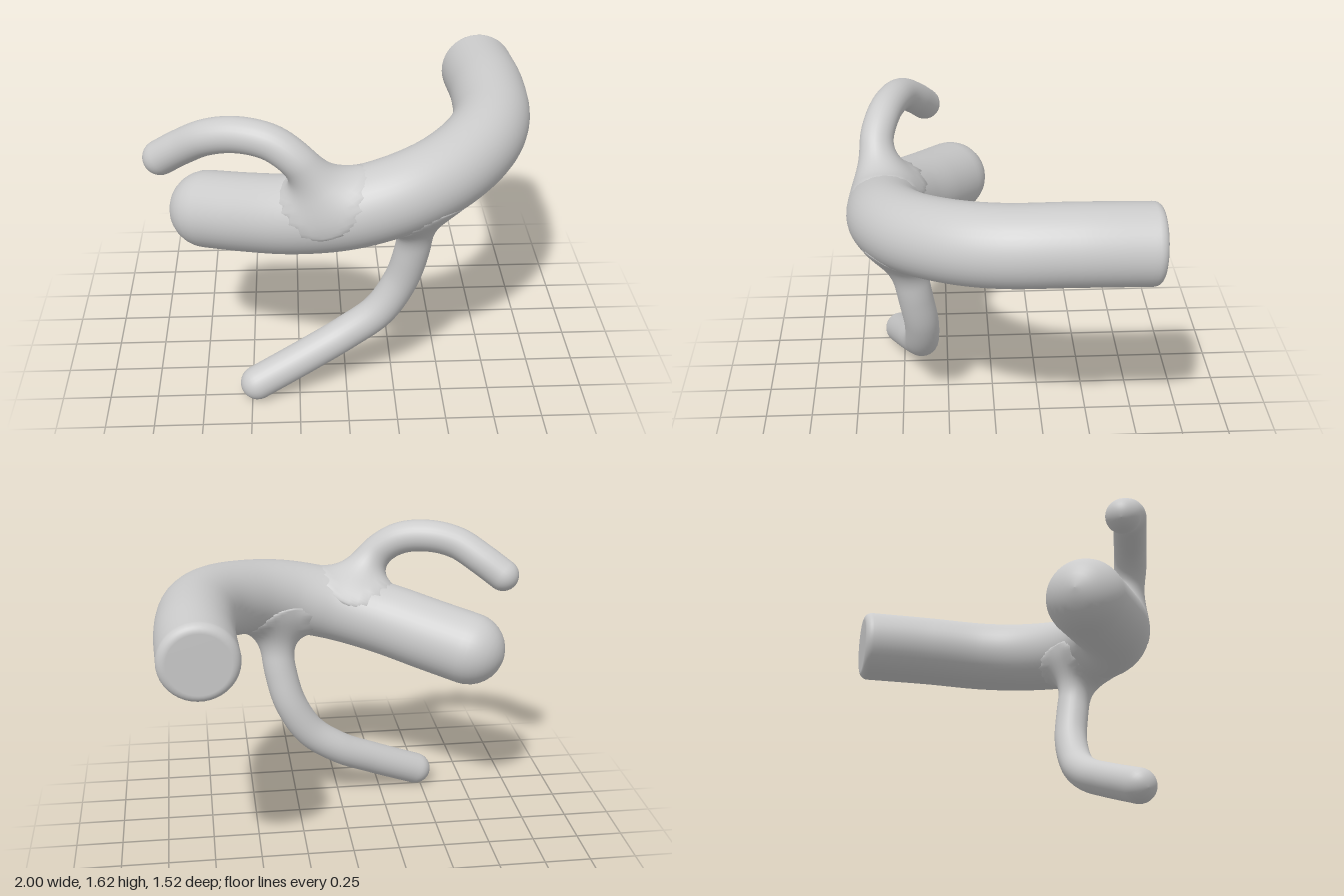
import * as THREE from 'three';

const V = (p) => new THREE.Vector3(...p);
const TRUNK_R = 0.2;
const trunkCurve = new THREE.CatmullRomCurve3([
  [-0.70, 0.97, 0.21], [-0.5, 1.015, 0.335], [-0.28, 1.07, 0.462], [-0.06, 1.125, 0.54], [0.1, 1.165, 0.555],
  [0.3, 1.215, 0.52], [0.5, 1.26, 0.405], [0.68, 1.305, 0.2], [0.77, 1.33, -0.02],
  [0.8, 1.345, -0.35], [0.79, 1.335, -0.71],
].map(V));
const trunkSamples = trunkCurve.getSpacedPoints(300);

const distanceTo = (samples, p, r) => {
  let best = Infinity;
  for (const s of samples) best = Math.min(best, s.distanceToSquared(p));
  return Math.sqrt(best) - r;
};

// Smooth tube along a curve; each end closes with a rounded edge of the given size (size = radius gives a dome)
function tube(curve, r, steps, sides, startEdge, endEdge, shift) {
  const { tangents, normals, binormals } = curve.computeFrenetFrames(steps);
  const rings = [];
  const cap = 8;
  for (let k = cap; k > 0; k--) {
    const a = (k / cap) * Math.PI / 2;
    rings.push([0, -startEdge * Math.sin(a), r - startEdge * (1 - Math.cos(a))]);
  }
  for (let i = 0; i <= steps; i++) rings.push([i, 0, r]);
  for (let k = 1; k <= cap; k++) {
    const a = (k / cap) * Math.PI / 2;
    rings.push([steps, endEdge * Math.sin(a), r - endEdge * (1 - Math.cos(a))]);
  }
  const pos = [], index = [];
  const centre = ([i, off]) => curve.getPointAt(i / steps).addScaledVector(tangents[i], off);
  for (const ring of rings) {
    const c = centre(ring), i = ring[0];
    for (let j = 0; j < sides; j++) {
      const a = (j / sides) * Math.PI * 2;
      const n = normals[i].clone().multiplyScalar(Math.cos(a)).addScaledVector(binormals[i], Math.sin(a));
      const p = c.clone().addScaledVector(n, ring[2]);
      if (shift) shift(p, n);
      pos.push(p.x, p.y, p.z);
    }
  }
  for (let i = 0; i < rings.length - 1; i++) {
    for (let j = 0; j < sides; j++) {
      const a = i * sides + j, b = i * sides + (j + 1) % sides;
      index.push(a, b, a + sides, b, b + sides, a + sides);
    }
  }
  // Close both ends with a fan
  const first = rings.length * sides, last = first + 1, row = (rings.length - 1) * sides;
  pos.push(...centre(rings[0]).toArray(), ...centre(rings[rings.length - 1]).toArray());
  for (let j = 0; j < sides; j++) {
    const k = (j + 1) % sides;
    index.push(first, k, j, last, row + j, row + k);
  }
  const g = new THREE.BufferGeometry();
  g.setAttribute('position', new THREE.Float32BufferAttribute(pos, 3));
  g.setIndex(index);
  g.computeVertexNormals();
  return g;
}

// Thin round-ended limb whose root swells into the trunk with a soft fillet
function limb(points, r) {
  const curve = new THREE.CatmullRomCurve3(points.map(V));
  const samples = curve.getSpacedPoints(200);
  const blend = 0.16;
  const shift = (p, n) => {
    const start = p.clone();
    for (let k = 0; k < 10; k++) {
      const a = distanceTo(trunkSamples, p, TRUNK_R);
      if (a > blend) return;
      const b = distanceTo(samples, p, r);
      const h = Math.max(blend - Math.abs(a - b), 0) / blend;
      const d = Math.min(a, b) - h * h * blend / 4;
      p.addScaledVector(n, -d);
      if (p.distanceTo(start) > 0.15) {
        p.copy(start).addScaledVector(n, 0.15);
        return;
      }
    }
  };
  return tube(curve, r, 90, 28, r, r, shift);
}

export function createModel() {
  const group = new THREE.Group();
  const material = new THREE.MeshStandardMaterial({ color: 0xcccccc });
  const add = (name, geometry) => {
    const mesh = new THREE.Mesh(geometry, material);
    mesh.name = name;
    group.add(mesh);
  };

  // Thick bent trunk: domed at one end, cut flat at the other
  add('trunk', tube(trunkCurve, TRUNK_R, 100, 40, TRUNK_R, 0.045));

  // Arched limb rising from the trunk
  add('upperLimb', limb([
    [-0.09, 1.2, 0.56], [-0.14, 1.3, 0.59], [-0.23, 1.42, 0.6], [-0.36, 1.51, 0.565],
    [-0.52, 1.532, 0.515], [-0.67, 1.5, 0.465], [-0.8, 1.42, 0.4], [-0.91, 1.34, 0.35],
  ], 0.088));

  // Curved limb hanging below the trunk
  add('lowerLimb', limb([
    [0.36, 1.1, 0.45], [0.35, 0.96, 0.435], [0.33, 0.8, 0.41], [0.28, 0.62, 0.385],
    [0.17, 0.44, 0.385], [0, 0.315, 0.4], [-0.2, 0.215, 0.45], [-0.47, 0.092, 0.52],
  ], 0.09));

  return group;
}
